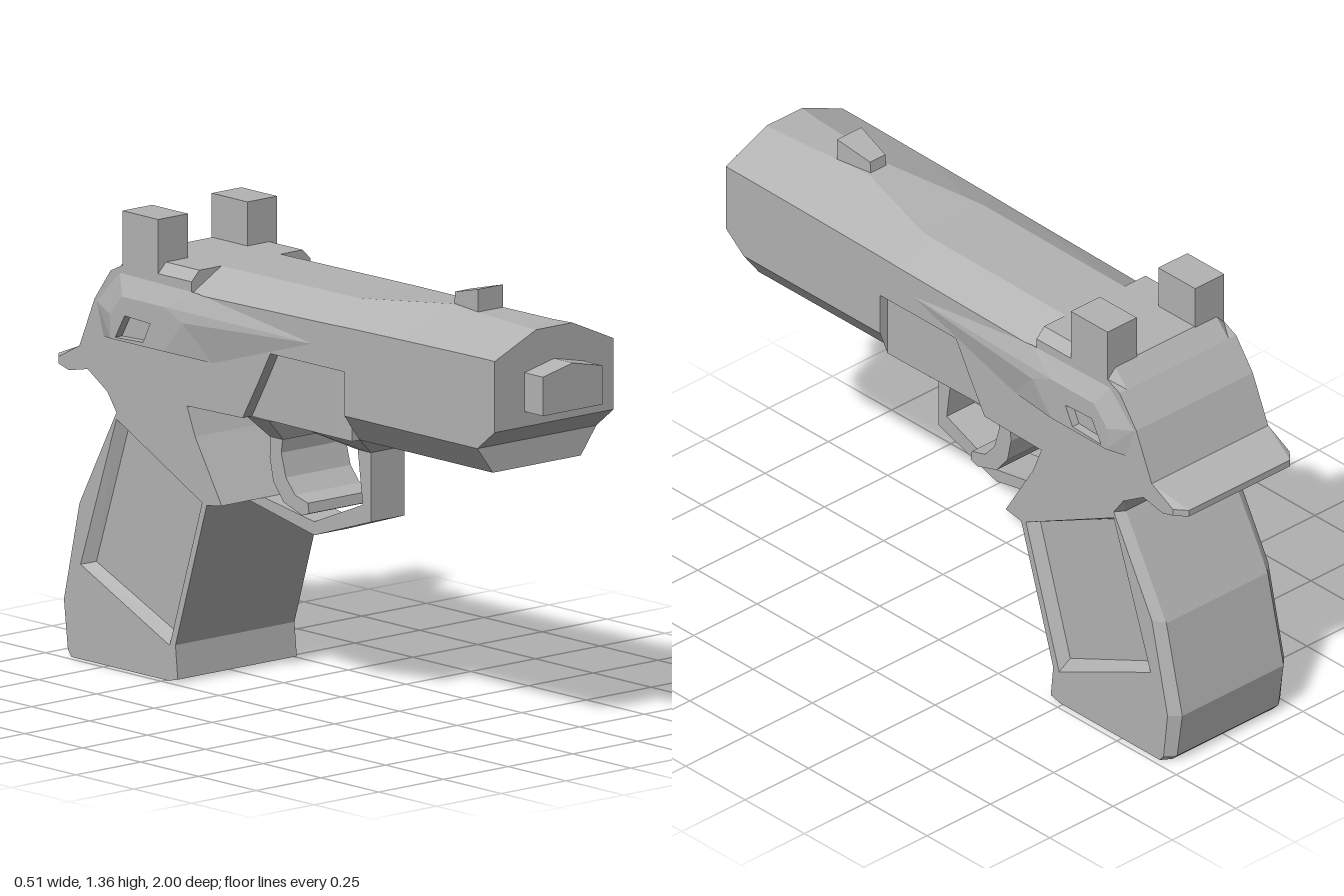
import * as THREE from 'three';

const grey = new THREE.MeshStandardMaterial({ color: 0xb3b3b3, flatShading: true, side: THREE.DoubleSide });
grey.name = 'plainGrey';

function add(group, name, geometry) {
  const mesh = new THREE.Mesh(geometry, grey);
  mesh.name = name;
  group.add(mesh);
}

// Joins equal-length loops of [x, y, z] points into a skin, optionally capped by fans.
function skin(loops, caps = true) {
  const out = [];
  const tri = (a, b, c) => out.push(...a, ...b, ...c);
  const n = loops[0].length;
  for (let i = 0; i + 1 < loops.length; i++) {
    for (let j = 0; j < n; j++) {
      const k = (j + 1) % n;
      tri(loops[i][j], loops[i][k], loops[i + 1][k]);
      tri(loops[i][j], loops[i + 1][k], loops[i + 1][j]);
    }
  }
  if (caps) {
    for (const loop of [[...loops[0]].reverse(), loops[loops.length - 1]]) {
      for (let j = 1; j + 1 < n; j++) tri(loop[0], loop[j], loop[j + 1]);
    }
  }
  const g = new THREE.BufferGeometry();
  g.setAttribute('position', new THREE.Float32BufferAttribute(out, 3));
  g.computeVertexNormals();
  return g;
}

// Side profiles are lists of [z, y].
const at = (pts, x) => pts.map(([z, y]) => [x, y, z]);
const toShape = (pts, holes = []) => {
  const shape = new THREE.Shape(pts.map((p) => new THREE.Vector2(...p)));
  for (const h of holes) shape.holes.push(new THREE.Path(h.map((p) => new THREE.Vector2(...p))));
  return shape;
};
const slab = (pts, half) => new THREE.ExtrudeGeometry(toShape(pts), { depth: half * 2, bevelEnabled: false })
  .translate(0, 0, -half).rotateY(-Math.PI / 2);
const face = (pts, holes, x) => new THREE.ShapeGeometry(toShape(pts, holes)).rotateY(-Math.PI / 2).translate(x, 0, 0);
// Horizontal rectangle used for tapered blocks
const rect = (y, w0, z0, w1, z1) => [[-w0, y, z0], [w0, y, z0], [w1, y, z1], [-w1, y, z1]];

// Half cross-section of the slide, mirrored into a full loop
function section(z, topW, topY, edgeY, panelX, lowY, bottomX, bottomY) {
  const half = [[topW, topY], [0.23, edgeY], [0.23, 1.04], [panelX, 1.04], [panelX, lowY], [bottomX, bottomY]];
  return [...half.map(([x, y]) => [x, y, z]), ...half.reverse().map(([x, y]) => [-x, y, z])];
}

export function createModel() {
  const model = new THREE.Group();
  model.name = 'pistol';

  // Slide and front frame, with a shallow side recess ahead of the trigger
  add(model, 'slide', skin([
    section(0.92, 0.07, 1.25, 1.18, 0.23, 0.97, 0.23, 0.97),
    section(0.845, 0.063, 1.249, 1.18, 0.23, 0.91, 0.23, 0.91),
    section(0.845, 0.063, 1.249, 1.18, 0.23, 0.91, 0.17, 0.83),
    section(0.52, 0.04, 1.255, 1.176, 0.23, 0.91, 0.17, 0.83),
    section(0.27, 0.1, 1.235, 1.172, 0.23, 0.91, 0.17, 0.83),
    section(0.27, 0.1, 1.235, 1.172, 0.2, 0.9, 0.2, 0.83),
    section(0.2, 0.115, 1.23, 1.17, 0.2, 0.9, 0.2, 0.83),
    section(-0.39, 0.115, 1.225, 1.16, 0.19, 0.9, 0.19, 0.83),
  ]));

  // Muzzle
  const muzzle = [[0, 1.155], [0.115, 1.13], [0.115, 1.015], [-0.115, 1.015], [-0.115, 1.13]];
  add(model, 'muzzle', skin([0.9, 1].map((z) => muzzle.map(([x, y]) => [x, y, z]))));

  // Sights
  add(model, 'frontSight', skin([
    [[-0.048, 1.23, 0.645], [0.048, 1.23, 0.645], [0.03, 1.23, 0.52], [-0.03, 1.23, 0.52]],
    [[-0.048, 1.32, 0.645], [0.048, 1.32, 0.645], [0.03, 1.29, 0.525], [-0.03, 1.29, 0.525]],
  ]));
  for (const s of [1, -1]) {
    add(model, 'rearSight', new THREE.BoxGeometry(0.115, 0.165, 0.155).translate(s * 0.1725, 1.2725, -0.612));
  }

  // Rear frame, tail and grip: [z, y, inset z, inset y]; the inset chamfers the outer edge
  const frame = [
    [-0.39, 1.225, 0, -0.03], [-0.39, 1.04], [-0.05, 1.04], [-0.1, 0.95], [-0.17, 0.83], [-0.41, 0.825],
    [-0.375, 0.74], [-0.26, 0.555], [-0.325, 0.545], [-0.46, 0.11], [-0.45, 0.01], [-0.49, 0],
    [-0.93, 0, 0.02, 0], [-0.95, 0.02, 0.025, 0], [-0.972, 0.165, 0.03, 0], [-0.905, 0.45, 0.03, 0.01],
    [-0.735, 0.755, 0.02, 0], [-0.755, 0.81], [-0.84, 0.862], [-0.95, 0.845, 0.03, 0], [-1, 0.857, 0.035, 0],
    [-1, 0.878, 0.035, 0], [-0.875, 0.925], [-0.81, 1.075], [-0.74, 1.17], [-0.687, 1.225, 0, -0.03],
  ];
  const full = frame.map(([z, y]) => [z, y]);
  const inset = frame.map(([z, y, dz = 0, dy = 0]) => [z + dz, y + dy]);
  add(model, 'frameCore', slab(full, 0.2));

  const panelOuter = [[-0.345, 0.55], [-0.715, 0.735], [-0.87, 0.28], [-0.485, 0.105]];
  const panelInner = [[-0.372, 0.56], [-0.695, 0.71], [-0.835, 0.29], [-0.5, 0.145]];

  // Swelling on the rear of the slide with a small pocket
  const swellOuter = [[0.13, 1.1], [-0.37, 1.165], [-0.7, 1.17], [-0.8, 1.07], [-0.77, 0.97], [-0.3, 0.97]];
  const swellInner = [[-0.4, 1.075], [-0.48, 1.11], [-0.66, 1.11], [-0.715, 1.05], [-0.71, 0.978], [-0.48, 0.978]];
  const pocket = [[-0.54, 1.05], [-0.65, 1.055], [-0.69, 0.985], [-0.57, 0.99]];

  for (const s of [1, -1]) {
    add(model, 'frameEdge', skin([at(full, s * 0.2), at(inset, s * 0.23)], false));
    add(model, 'frameSide', face(inset, [panelOuter], s * 0.23));
    add(model, 'gripPanelRim', skin([at(panelOuter, s * 0.23), at(panelInner, s * 0.2)], false));
    add(model, 'slideSwell', skin([at(swellOuter, s * 0.2301), at(swellInner, s * 0.257)], false));
    add(model, 'slideSwellFace', face(swellInner, [pocket], s * 0.257));
    add(model, 'sidePocket', skin([at(pocket, s * 0.257), at(pocket, s * 0.231)], false));
  }

  // Trigger guard with a flared root
  add(model, 'triggerGuard', slab([
    [0.2, 0.79], [0.2, 0.56], [-0.045, 0.48], [-0.32, 0.535], [-0.32, 0.565], [-0.045, 0.52], [0.165, 0.605], [0.14, 0.79],
  ], 0.065));
  add(model, 'guardRoot', skin([rect(0.83, 0.17, 0.27, 0.2, 0.09), rect(0.765, 0.065, 0.2, 0.065, 0.135)]));

  // Curved trigger with a flared root
  add(model, 'trigger', slab([
    [-0.105, 0.83], [-0.18, 0.83], [-0.165, 0.78], [-0.17, 0.7], [-0.155, 0.63], [-0.11, 0.575], [-0.03, 0.55],
    [0, 0.56], [-0.005, 0.59], [-0.06, 0.605], [-0.1, 0.65], [-0.12, 0.72], [-0.11, 0.79],
  ], 0.125));
  add(model, 'triggerRoot', skin([rect(0.83, 0.2, -0.09, 0.2, -0.19), rect(0.76, 0.125, -0.11, 0.125, -0.17)]));

  return model;
}
